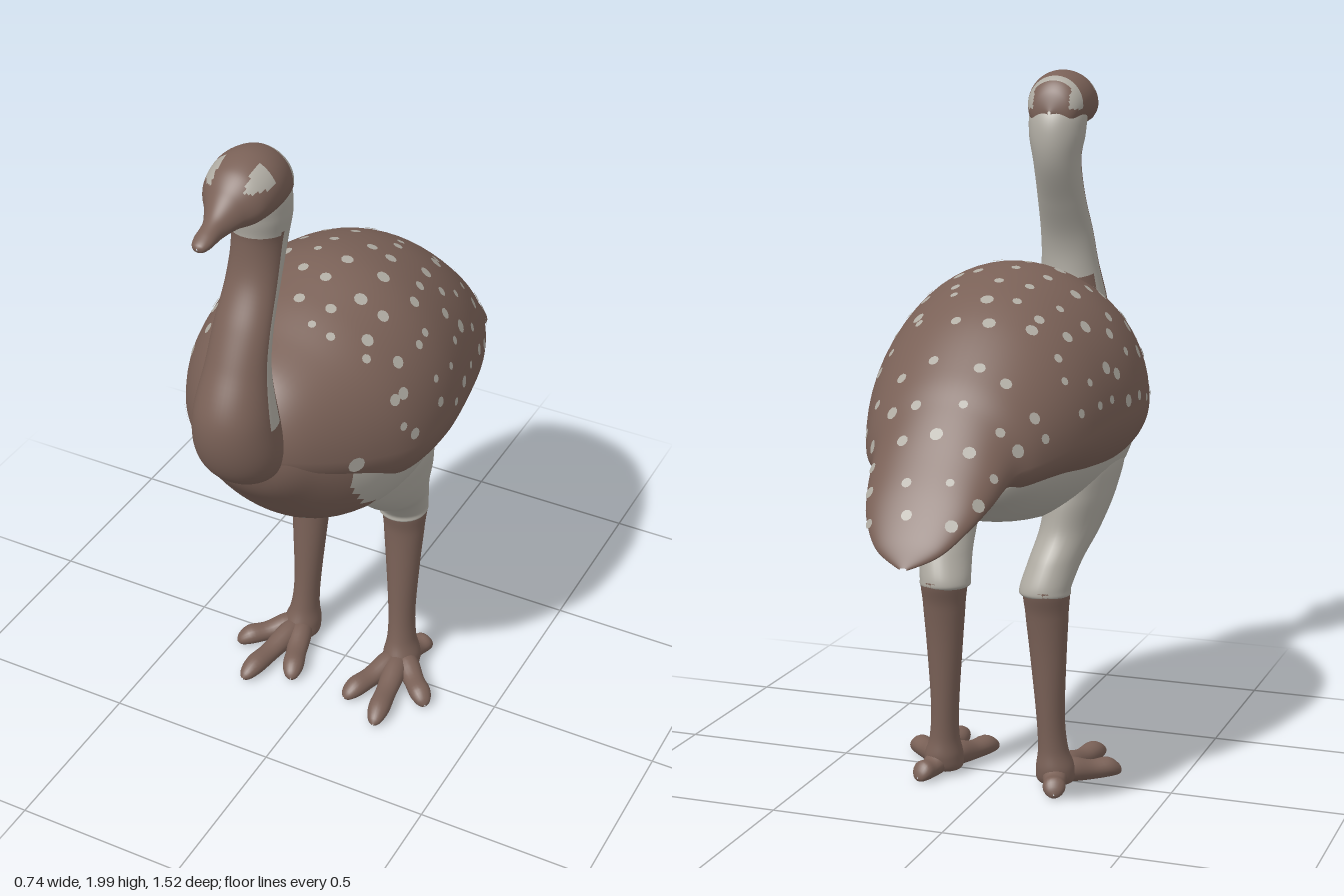
import * as THREE from 'three';
import { mergeGeometries } from 'three/addons/utils/BufferGeometryUtils.js';

const brown = new THREE.MeshStandardMaterial({ color: 0x7a6157 });
brown.name = 'brown plumage';
const pale = new THREE.MeshStandardMaterial({ color: 0xb0aca3 });
pale.name = 'pale plumage';

// Smooth interpolation through stations, u counted in stations
function station(list, u) {
  const i = Math.min(Math.floor(u), list.length - 2), t = u - i;
  const at = (k) => list[Math.max(0, Math.min(list.length - 1, k))];
  const [a, b, c, d] = [at(i - 1), at(i), at(i + 1), at(i + 2)];
  return b.map((v, k) => 0.5 * (2 * v + (c[k] - a[k]) * t + (2 * a[k] - 5 * v + 4 * c[k] - d[k]) * t * t
    + (3 * v - a[k] - 3 * c[k] + d[k]) * t * t * t));
}

// Point on a loft. Station: x, y, z, half width, upper radius, lower radius, tilt in degrees
// Tilt 0 rings stand upright (path towards +z), tilt 90 rings lie flat (path downwards)
function surfacePoint(list, u, angle, square = 1) {
  const [x, y, z, w, up, down, tilt] = station(list, u);
  const c = Math.cos(angle), s = Math.sin(angle), t = THREE.MathUtils.degToRad(tilt);
  const across = s < 0 ? Math.sign(c) * Math.abs(c) ** square : c;
  const r = Math.max(0.001, s > 0 ? up : down) * s;
  return new THREE.Vector3(x + Math.max(0.001, w) * across, y + r * Math.cos(t), z + r * Math.sin(t));
}

// Closed lofted skin; isPale(point, upward share of the ring) picks the colour of each cell
function loft(name, list, { around = 48, steps = 8, square = 1, isPale = () => false } = {}) {
  const rows = (list.length - 1) * steps, pos = [], faces = [[], []];
  for (let i = 0; i <= rows; i++) {
    for (let j = 0; j < around; j++) {
      pos.push(...surfacePoint(list, i / steps, (j / around) * Math.PI * 2, square).toArray());
    }
  }
  for (let i = 0; i < rows; i++) {
    for (let j = 0; j < around; j++) {
      const k = (j + 1) % around, a = i * around + j, b = i * around + k, c = a + around, d = b + around;
      const angle = ((j + 0.5) / around) * Math.PI * 2;
      const p = surfacePoint(list, (i + 0.5) / steps, angle, square);
      faces[isPale(p, Math.sin(angle)) ? 1 : 0].push(a, b, c, b, d, c);
    }
  }
  const geo = new THREE.BufferGeometry();
  geo.setAttribute('position', new THREE.Float32BufferAttribute(pos, 3));
  geo.setIndex([...faces[0], ...faces[1]]);
  geo.addGroup(0, faces[0].length, 0);
  geo.addGroup(faces[0].length, faces[1].length, 1);
  geo.computeVertexNormals();
  const mesh = new THREE.Mesh(geo, [brown, pale]);
  mesh.name = name;
  return mesh;
}

// Back, folded wings and tail, from tail tip to breast
const mantle = [
  [0, 0.80, -0.757, 0.01, 0.004, 0.004, 0], [0, 0.84, -0.72, 0.09, 0.03, 0.02, 0],
  [0, 0.90, -0.65, 0.145, 0.065, 0.035, 0], [0, 0.95, -0.57, 0.175, 0.11, 0.05, 0],
  [0, 1.00, -0.48, 0.20, 0.165, 0.06, 0], [0, 1.02, -0.40, 0.25, 0.23, 0.09, 0],
  [0, 1.05, -0.25, 0.31, 0.325, 0.125, 0], [0, 1.07, -0.10, 0.345, 0.38, 0.17, 0],
  [0, 1.08, 0.08, 0.368, 0.405, 0.19, 0], [0, 1.08, 0.25, 0.35, 0.37, 0.17, 0],
  [0, 1.10, 0.38, 0.29, 0.30, 0.12, 0], [0, 1.13, 0.50, 0.20, 0.22, 0.09, 0],
  [0, 1.15, 0.57, 0.12, 0.12, 0.05, 0], [0, 1.15, 0.62, 0.005, 0.005, 0.005, 0],
];
const belly = [
  [0, 0.91, -0.65, 0.02, 0.005, 0.005, 0], [0, 0.935, -0.58, 0.13, 0.03, 0.035, 0],
  [0, 0.97, -0.40, 0.20, 0.08, 0.10, 0], [0, 1.00, -0.20, 0.27, 0.12, 0.20, 0],
  [0, 1.02, 0.00, 0.31, 0.15, 0.26, 0], [0, 1.02, 0.17, 0.32, 0.15, 0.27, 0],
  [0, 1.04, 0.30, 0.30, 0.18, 0.26, 0], [0, 1.07, 0.40, 0.26, 0.18, 0.24, 0],
  [0, 1.10, 0.50, 0.19, 0.15, 0.16, 0], [0, 1.13, 0.57, 0.12, 0.10, 0.10, 0],
  [0, 1.15, 0.61, 0.005, 0.005, 0.005, 0],
];
// Neck from the skull down into the breast
const neck = [
  [0, 1.92, 0.47, 0.03, 0.03, 0.03, 90], [0, 1.89, 0.47, 0.08, 0.08, 0.08, 90],
  [0, 1.82, 0.46, 0.083, 0.085, 0.09, 90], [0, 1.74, 0.46, 0.07, 0.078, 0.077, 80],
  [0, 1.63, 0.50, 0.072, 0.057, 0.057, 66], [0, 1.52, 0.555, 0.08, 0.058, 0.058, 66],
  [0, 1.42, 0.585, 0.088, 0.075, 0.075, 72], [0, 1.29, 0.605, 0.11, 0.113, 0.11, 85],
  [0, 1.18, 0.585, 0.118, 0.108, 0.10, 105], [0, 1.11, 0.54, 0.09, 0.07, 0.06, 125],
  [0, 1.08, 0.50, 0.005, 0.005, 0.005, 130],
];
const head = [
  [0, 1.88, 0.382, 0.005, 0.005, 0.005, 0], [0, 1.885, 0.40, 0.06, 0.06, 0.06, 0],
  [0, 1.90, 0.44, 0.085, 0.085, 0.08, 0], [0, 1.91, 0.51, 0.097, 0.09, 0.085, 0],
  [0, 1.90, 0.58, 0.087, 0.083, 0.068, 0], [0, 1.885, 0.63, 0.055, 0.058, 0.043, 0],
  [0, 1.868, 0.68, 0.031, 0.034, 0.027, 0], [0, 1.86, 0.73, 0.026, 0.02, 0.02, 0],
  [0, 1.856, 0.753, 0.017, 0.011, 0.013, 0], [0, 1.855, 0.76, 0.002, 0.002, 0.002, 0],
];
const thigh = [
  [0.2, 1.00, 0.15, 0.04, 0.08, 0.08, 90], [0.2, 0.95, 0.13, 0.10, 0.18, 0.18, 90],
  [0.2, 0.85, 0.09, 0.092, 0.18, 0.17, 90], [0.185, 0.75, 0.04, 0.082, 0.13, 0.13, 90],
  [0.165, 0.67, -0.03, 0.074, 0.09, 0.10, 90], [0.15, 0.60, -0.078, 0.072, 0.076, 0.078, 90],
  [0.15, 0.575, -0.076, 0.066, 0.065, 0.07, 90], [0.15, 0.57, -0.076, 0.005, 0.005, 0.005, 90],
];
const shank = [
  [0.153, 0.61, -0.08, 0.01, 0.01, 0.01, 90], [0.153, 0.60, -0.08, 0.062, 0.068, 0.075, 90],
  [0.154, 0.52, -0.077, 0.061, 0.056, 0.06, 90], [0.156, 0.40, -0.07, 0.052, 0.049, 0.05, 90],
  [0.16, 0.22, -0.06, 0.04, 0.045, 0.045, 90], [0.165, 0.12, -0.052, 0.042, 0.05, 0.048, 90],
  [0.17, 0.06, -0.045, 0.055, 0.065, 0.06, 90], [0.17, 0.02, -0.04, 0.05, 0.055, 0.05, 90],
  [0.17, 0.012, -0.04, 0.005, 0.005, 0.005, 90],
];
// Toe tips (x, z) relative to the ankle
const toes = { outerToe: [0.15, 0.15], middleToe: [0.05, 0.295], innerToe: [-0.08, 0.23], hindToe: [0.035, -0.12] };

function toe(name, [dx, dz]) {
  const n = Math.hypot(dx, dz);
  const mesh = loft(name, [
    [0, 0.05, 0, 0.03, 0.02, 0.03, 0], [0, 0.045, n * 0.25, 0.036, 0.036, 0.035, 0],
    [0, 0.036, n * 0.55, 0.031, 0.026, 0.03, 0], [0, 0.034, n * 0.8, 0.032, 0.029, 0.028, 0],
    [0, 0.026, n * 0.95, 0.02, 0.016, 0.018, 0], [0, 0.02, n, 0.002, 0.002, 0.002, 0],
  ], { around: 20, steps: 4 });
  mesh.rotation.y = Math.atan2(dx, dz);
  mesh.position.set(0.17, 0, -0.045);
  return mesh;
}

function buildLeg(name) {
  const leg = new THREE.Group();
  leg.name = name;
  leg.add(loft('thigh', thigh, { around: 32, isPale: () => true }), loft('shank', shank, { around: 32 }));
  for (const [toeName, tip] of Object.entries(toes)) leg.add(toe(toeName, tip));
  return leg;
}

// Mirror a leg by flipping its stations through negative scale
function mirrored(leg, name) {
  const other = leg.clone();
  other.name = name;
  other.scale.x = -1;
  return other;
}

// Thin pale discs scattered in rows over the back and wings
function buildSpots() {
  let seed = 7;
  const random = () => (seed = (seed * 16807) % 2147483647) / 2147483647;
  const discs = [], front = new THREE.Vector3(0, 0, 1);
  const addSpot = (u, angle, radius) => {
    const p = surfacePoint(mantle, u, angle, 0.6);
    const alongU = surfacePoint(mantle, u + 0.02, angle, 0.6).sub(p);
    const alongA = surfacePoint(mantle, u, angle + 0.02, 0.6).sub(p);
    const normal = alongA.cross(alongU).normalize();
    const disc = new THREE.CircleGeometry(radius, 10);
    disc.applyQuaternion(new THREE.Quaternion().setFromUnitVectors(front, normal));
    const at = p.addScaledVector(normal, 0.003);
    discs.push(disc.translate(at.x, at.y, at.z));
  };
  for (let u = 1.5; u < 9.6; u += u > 6 ? 0.5 : 0.9) {
    const [, , , w, up] = station(mantle, u);
    const count = Math.max(3, Math.round((Math.PI * (w + up)) / 2 / 0.1));
    for (let k = 0; k < count; k++) {
      const angle = ((k + 0.5 + (random() - 0.5) * 0.5) / count) * Math.PI;
      addSpot(u + (random() - 0.5) * 0.3, angle, 0.011 + random() * 0.008);
    }
  }
  for (const angle of [-0.1, Math.PI + 0.1]) addSpot(10.4, angle, 0.024);
  const spots = new THREE.Mesh(mergeGeometries(discs), pale);
  spots.name = 'plumageSpots';
  return spots;
}

export function createModel() {
  const bird = new THREE.Group();
  bird.name = 'flightlessBird';
  bird.add(loft('mantle', mantle, { around: 64, square: 0.6 }), buildSpots());
  // Breast is brown, the rest of the underside pale
  bird.add(loft('belly', belly, { around: 64, isPale: (p) =>
    p.z < 0.3 || (p.z < 0.42 && (Math.abs(p.x) > 0.24 || p.y < 0.84)) }));
  // Brown stripe down the front of the neck and a brown collar
  bird.add(loft('neck', neck, { isPale: (p, front) =>
    p.y > (front < -0.4 ? 1.39 : 1.27) && (front < 0.15 || p.y > 1.77) }));
  // Brown cap and bill, pale cheeks, brows and nape band
  bird.add(loft('head', head, { around: 64, steps: 10, isPale: (p) => {
    const x = Math.abs(p.x);
    const cheek = p.y < 1.85 && p.z < 0.61;
    const brow = p.z > 0.53 && p.z < 0.61 && x > 0.045 && p.y > 1.94;
    const nape = p.z < 0.44 && p.y > 1.89 && (p.z > 0.42 || x > 0.055);
    return cheek || brow || nape;
  } }));
  const left = buildLeg('leftLeg');
  bird.add(left, mirrored(left, 'rightLeg'));
  return bird;
}
